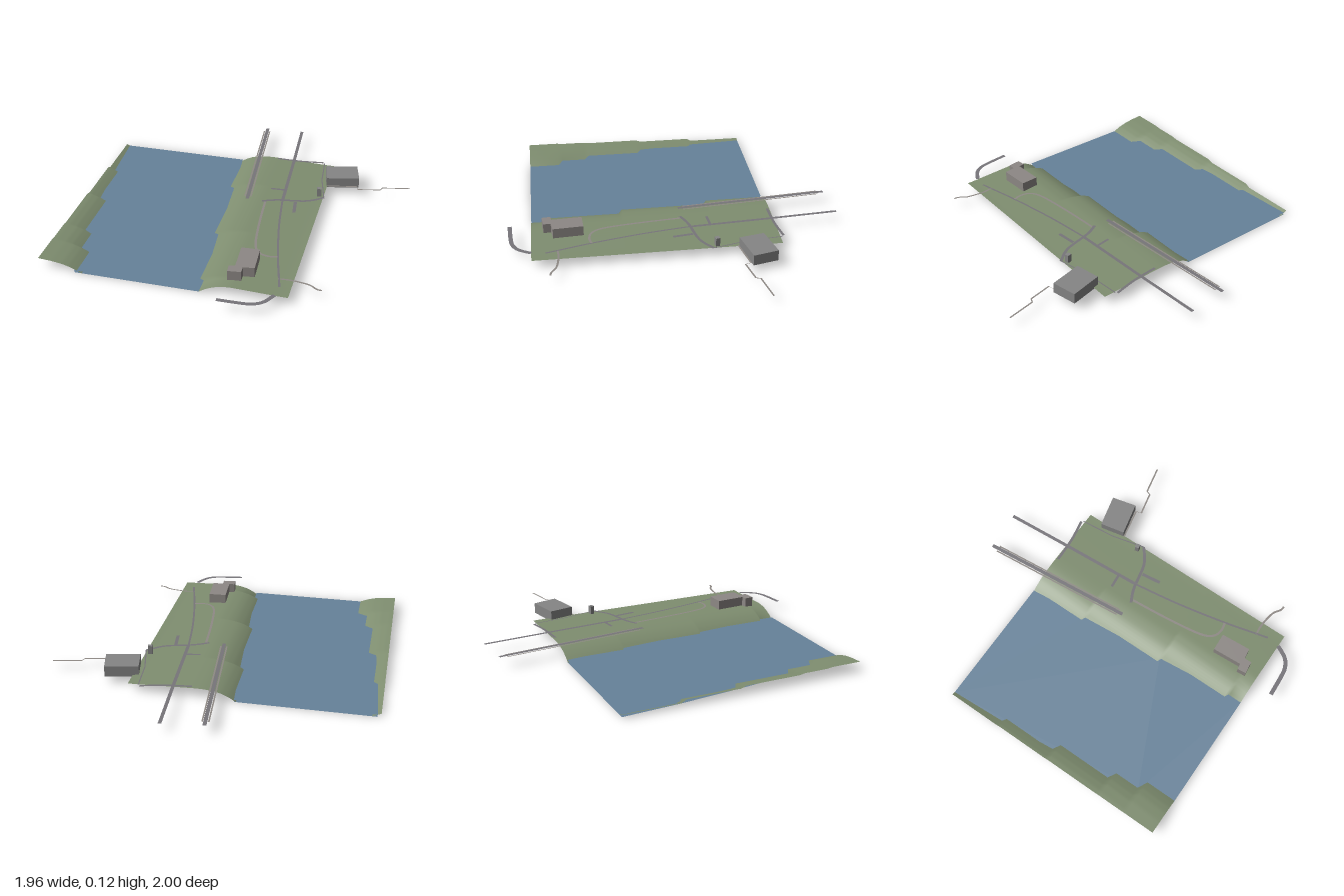
import * as THREE from 'three';

const mat = (color) => new THREE.MeshStandardMaterial({ color, side: THREE.DoubleSide, roughness: 0.9 });
const { clamp, lerp } = THREE.MathUtils;

// Surface through equally long rows of [x, y, z] points
function surface(rows) {
  const n = rows[0].length, index = [];
  for (let i = 0; i < rows.length - 1; i++) {
    for (let j = 0; j < n - 1; j++) {
      const a = i * n + j, b = a + n;
      index.push(a, b, a + 1, b, b + 1, a + 1);
    }
  }
  const g = new THREE.BufferGeometry();
  g.setAttribute('position', new THREE.Float32BufferAttribute(rows.flat(2), 3));
  g.setIndex(index);
  g.computeVertexNormals();
  return g;
}

// Piecewise linear lookup in [[in, out], ...]
function lookup(table, v) {
  for (let i = 1; i < table.length; i++) {
    const [a, ya] = table[i - 1], [b, yb] = table[i];
    if (v <= b) return lerp(ya, yb, clamp((v - a) / (b - a), 0, 1));
  }
  return table[table.length - 1][1];
}

const Z0 = -0.6, Z1 = 0.86, WATER = 0.013;
// The foot of each bank moves sideways in short steps along the river
const leftToe = [[-0.27, -0.93], [-0.24, -0.885], [0.09, -0.885], [0.12, -0.83], [0.46, -0.83],
  [0.49, -0.78], [0.64, -0.78], [0.67, -0.72]];
const rightToe = [[-0.24, -0.165], [-0.22, -0.12], [0.3, -0.12], [0.32, -0.075], [0.76, -0.075], [0.78, -0.035]];
const leftRise = [[0, 0], [0.05, 0.022], [0.08, 0.034], [0.12, 0.045], [0.18, 0.054], [0.26, 0.06]];
const rightRise = [[0, 0], [0.04, 0.025], [0.08, 0.043], [0.12, 0.054], [0.17, 0.06], [0.2, 0.062]];
const plain = (x) => 0.062 - 0.012 * clamp((x - 0.08) / 0.35, 0, 1);

function bank(toe, rise, endX, cap) {
  const zs = [Z0, ...toe.map((t) => t[0]), Z1];
  const rows = zs.map((z) => {
    const foot = lookup(toe, z), row = [];
    for (let j = 0; j <= 24; j++) {
      const x = lerp(foot, endX, (j / 24) ** 1.5);
      row.push([x, Math.min(lookup(rise, Math.abs(x - foot)), cap(x)), z]);
    }
    return endX < foot ? row.reverse() : row;
  });
  return surface(rows);
}

// Flat strip along a path of [x, z] points, lying just above the ground
function ribbon(points, width, smooth, lift = 0.003, offset = 0) {
  let pts = points.map(([x, z]) => new THREE.Vector2(x, z));
  if (smooth) pts = new THREE.SplineCurve(pts).getPoints(24);
  const rows = pts.map((p, i) => {
    const before = pts[Math.max(i - 1, 0)], after = pts[Math.min(i + 1, pts.length - 1)];
    const d = after.clone().sub(before).normalize();
    return [1, -1].map((s) => {
      const k = offset + s * width / 2;
      return [p.x + d.y * k, plain(p.x) + lift, p.y - d.x * k];
    }).reverse();
  });
  return surface(rows);
}

// Walls and flat roof over an outline of [x, z] corners, open below
function building(corners, y0, y1, color) {
  const g = new THREE.Group(), m = mat(color);
  corners.forEach(([x, z], i) => {
    const [x2, z2] = corners[(i + 1) % corners.length];
    const wall = new THREE.Mesh(surface([[[x, y0, z], [x, y1, z]], [[x2, y0, z2], [x2, y1, z2]]]), m);
    wall.name = 'wall';
    g.add(wall);
  });
  const roof = new THREE.Mesh(flatShape(corners), m);
  roof.position.y = y1;
  roof.name = 'roof';
  g.add(roof);
  return g;
}

// Horizontal polygon facing up
function flatShape(corners) {
  const shape = new THREE.Shape(corners.map(([x, z]) => new THREE.Vector2(x, -z)));
  return new THREE.ShapeGeometry(shape).rotateX(-Math.PI / 2);
}

export function createModel() {
  const model = new THREE.Group();
  const add = (name, object, material) => {
    const o = material ? new THREE.Mesh(object, material) : object;
    o.name = name;
    model.add(o);
    return o;
  };
  const grass = mat(0x7f8e70), water = mat(0x66829a), asphalt = mat(0x77757a), gravel = mat(0x8f8a86);

  // Land on both sides of the river
  add('leftBank', bank(leftToe, leftRise, -0.98, () => 1), grass);
  add('rightBank', bank(rightToe, rightRise, 0.465, plain), grass);

  // River surface and bed
  const river = [[-0.96, Z0], [-0.94, -0.26], [-0.905, 0.1], [-0.86, 0.47], [-0.82, 0.65], [-0.765, Z1],
    [-0.03, Z1], [-0.03, 0.77], [-0.075, 0.3], [-0.12, -0.24], [-0.155, Z0]];
  add('riverSurface', flatShape(river), water).position.y = WATER;
  add('riverBed', flatShape(river), water);

  // Roads: points, width, smooth
  const roads = [
    [[[0.17, -1], [0.2, -0.57], [0.23, -0.08]], 0.02],
    [[[0.09, -0.585], [0.25, -0.595], [0.39, -0.62]], 0.016, true],
    [[[0.4, -0.61], [0.42, -0.4], [0.47, -0.19]], 0.007],
    [[[0.47, -0.19], [0.37, -0.12], [0.2, -0.08], [0.11, -0.04]], 0.018, true],
    [[[0.13, -0.2], [0.23, -0.21]], 0.016],
    [[[0.31, -0.09], [0.325, 0.03]], 0.02],
    [[[0.23, -0.08], [0.27, 0.2], [0.33, 0.5], [0.38, 0.7], [0.4, 0.78]], 0.012, true],
    [[[0.39, 0.86], [0.35, 0.93], [0.3, 0.965], [0.24, 0.977], [0.1, 0.985]], 0.025, true],
  ];
  roads.forEach(([pts, w, smooth], i) => add('road' + (i + 1), ribbon(pts, w, smooth), asphalt));

  // Footpaths
  add('curvedPath', ribbon([[0.13, -0.04], [0.15, 0.2], [0.18, 0.42], [0.22, 0.5], [0.28, 0.52], [0.33, 0.51]],
    0.014, true), gravel);
  add('eastPath', ribbon([[0.38, 0.71], [0.45, 0.705], [0.55, 0.72], [0.6, 0.75], [0.63, 0.755]], 0.012, true), gravel);
  add('zigzagPath', ribbon([[0.46, -0.335], [0.65, -0.372], [0.66, -0.338], [0.8, -0.368], [0.81, -0.395],
    [0.98, -0.43]], 0.01), gravel);

  // Long straight track with a lighter strip on each side
  add('track', ribbon([[-0.07, -0.98], [0.015, -0.04]], 0.022, false, 0.005), asphalt);
  for (const s of [-1, 1]) {
    add(s < 0 ? 'trackSideA' : 'trackSideB',
      ribbon([[-0.067, -0.94], [0.012, -0.07]], 0.009, false, 0.003, s * 0.018), gravel);
  }

  // Buildings
  add('largeBuilding', building([[0.43, -0.49], [0.625, -0.535], [0.66, -0.385], [0.46, -0.34]], 0.04, 0.106, 0x858585));
  add('steppedBuilding', building([[0.13, 0.555], [0.238, 0.55], [0.25, 0.73], [0.185, 0.74], [0.187, 0.785],
    [0.11, 0.793], [0.105, 0.74], [0.14, 0.735]], 0.053, 0.118, 0x8d8885));
  add('hut', building([[0.42, -0.225], [0.447, -0.23], [0.452, -0.205], [0.425, -0.2]], 0.04, 0.102, 0x858585));
  return model;
}
